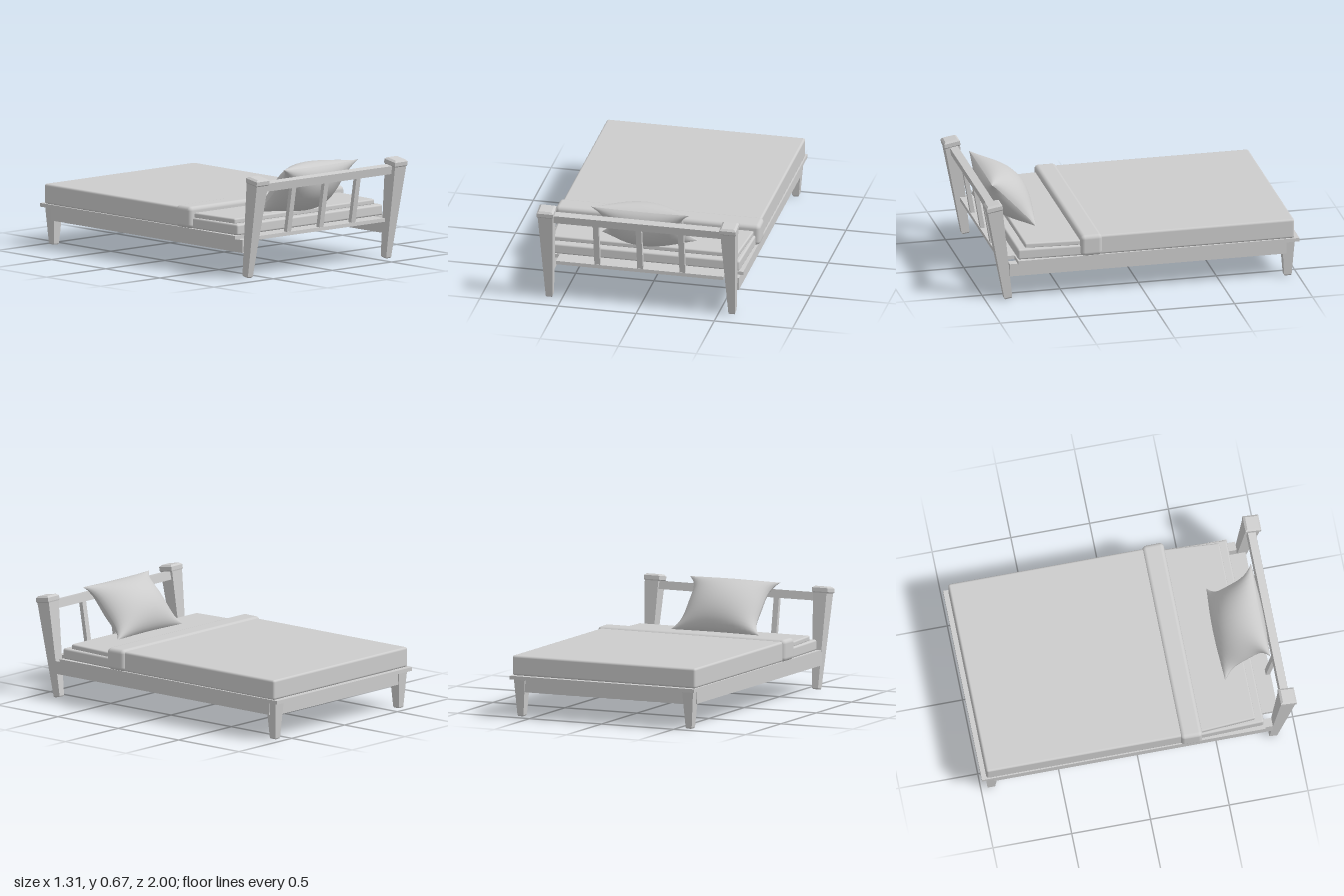
import * as THREE from 'three';
import { RoundedBoxGeometry } from 'three/addons/geometries/RoundedBoxGeometry.js';
import { mergeGeometries } from 'three/addons/utils/BufferGeometryUtils.js';

export function createModel() {
  const bed = new THREE.Group();
  bed.name = 'bed';
  const grey = new THREE.MeshStandardMaterial({ color: 0xcccccc });
  grey.name = 'plain grey';

  const add = (name, geometry) => {
    const mesh = new THREE.Mesh(geometry, grey);
    mesh.name = name;
    bed.add(mesh);
    return mesh;
  };

  // Box given by its limits on each axis
  const box = (name, [x0, x1], [y0, y1], [z0, z1]) => {
    const mesh = add(name, new THREE.BoxGeometry(x1 - x0, y1 - y0, z1 - z0));
    mesh.position.set((x0 + x1) / 2, (y0 + y1) / 2, (z0 + z1) / 2);
    return mesh;
  };

  // Soft box whose half width narrows from w0 at z0 to w1 at z1
  const softBox = (name, w0, w1, [y0, y1], [z0, z1], radius) => {
    const g = new RoundedBoxGeometry(2, y1 - y0, z1 - z0, 3, radius);
    const p = g.attributes.position;
    for (let i = 0; i < p.count; i++) {
      const t = p.getZ(i) / (z1 - z0) + 0.5;
      const w = THREE.MathUtils.lerp(w0, w1, t);
      const x = p.getX(i);
      // keep the corner radius while changing the width
      p.setX(i, x - Math.sign(x) * (1 - w));
    }
    const mesh = add(name, g);
    mesh.position.set(0, (y0 + y1) / 2, (z0 + z1) / 2);
  };

  // Square post through sections [y, centre z, half x, half z], each tilted
  const post = (sections, tilt) => {
    const rings = sections.map(([y, z, hx, hz]) =>
      [[-1, 1], [1, 1], [1, -1], [-1, -1]].map(([sx, sz]) => [sx * hx, y - tilt * sz * hz, z + sz * hz]));
    const v = [];
    const quad = (a, b, c, d) => v.push(...a, ...b, ...c, ...a, ...c, ...d);
    for (let r = 0; r < rings.length - 1; r++) {
      for (let k = 0; k < 4; k++) {
        const n = (k + 1) % 4;
        quad(rings[r][k], rings[r][n], rings[r + 1][n], rings[r + 1][k]);
      }
    }
    const [a, b, c, d] = rings[0];
    quad(d, c, b, a);
    quad(...rings[rings.length - 1]);
    const g = new THREE.BufferGeometry();
    g.setAttribute('position', new THREE.Float32BufferAttribute(v, 3));
    g.computeVertexNormals();
    return g;
  };

  // Leaning head posts with bevelled caps, and short tapered foot legs
  const headPost = post([
    [0.0, 0.855, 0.016, 0.02], [0.008, 0.856, 0.021, 0.025],
    [0.595, 0.945, 0.047, 0.047], [0.602, 0.947, 0.053, 0.05],
    [0.626, 0.95, 0.053, 0.05], [0.637, 0.952, 0.04, 0.038],
  ], 0.17);
  const footLeg = post([
    [0.0, -0.934, 0.016, 0.02], [0.008, -0.934, 0.021, 0.024], [0.236, -0.934, 0.038, 0.04],
  ], 0);
  for (const [side, s] of [['left', 1], ['right', -1]]) {
    add(side + 'HeadPost', headPost).position.x = s * 0.584;
    add(side + 'FootLeg', footLeg).position.x = s * 0.584;
    box(side + 'SideRail', [s * 0.595 - 0.028, s * 0.595 + 0.028], [0.155, 0.236], [-0.92, 0.85]);
  }

  // Platform
  box('footRail', [-0.57, 0.57], [0.155, 0.236], [-0.963, -0.915]);
  box('platform', [-0.64, 0.64], [0.235, 0.258], [-1, 0.8]);
  box('platformHeadEnd', [-0.535, 0.535], [0.235, 0.258], [0.8, 0.9]);

  // Leaning headboard: top rail and three slats
  const lean = 0.17;
  const rail = box('headRail', [-0.545, 0.545], [0.546, 0.598], [0.91, 0.96]);
  rail.rotation.x = lean;
  for (const x of [-0.272, 0.002, 0.272]) {
    const slat = box('headSlat', [x - 0.018, x + 0.018], [0.255, 0.56], [0.895, 0.922]);
    slat.rotation.x = lean;
  }

  // Bedding
  softBox('mattress', 0.632, 0.615, [0.257, 0.325], [0.25, 0.795], 0.012);
  softBox('sheet', 0.625, 0.592, [0.32, 0.355], [0.25, 0.745], 0.01);
  softBox('blanket', 0.635, 0.635, [0.257, 0.383], [-0.97, 0.3], 0.014);
  softBox('blanketFold', 0.652, 0.655, [0.257, 0.394], [0.262, 0.4], 0.026);

  // Pillow: two puffed sheets meeting at a pinched seam
  const puff = (dir) => {
    const g = new THREE.PlaneGeometry(2, 2, 20, 20);
    const p = g.attributes.position;
    for (let i = 0; i < p.count; i++) {
      const u = Math.sin(p.getX(i) * Math.PI / 2);
      const v = Math.sin(p.getY(i) * Math.PI / 2);
      const dome = Math.pow(Math.max(0, (1 - u * u) * (1 - v * v)), 0.55);
      p.setXYZ(i, u * (0.25 + 0.065 * v ** 4), v * (0.195 + 0.012 * u * u), dir * 0.13 * dome);
    }
    if (dir < 0) {
      const ix = g.index.array;
      for (let i = 0; i < ix.length; i += 3) [ix[i], ix[i + 1]] = [ix[i + 1], ix[i]];
    }
    g.computeVertexNormals();
    return g;
  };
  const pillow = add('pillow', mergeGeometries([puff(1), puff(-1)]));
  pillow.position.set(0, 0.5, 0.75);
  // turn the sheet to face the foot of the bed and lean back on the headboard
  pillow.rotation.set(-0.76, Math.PI, 0, 'YXZ');

  return bed;
}
